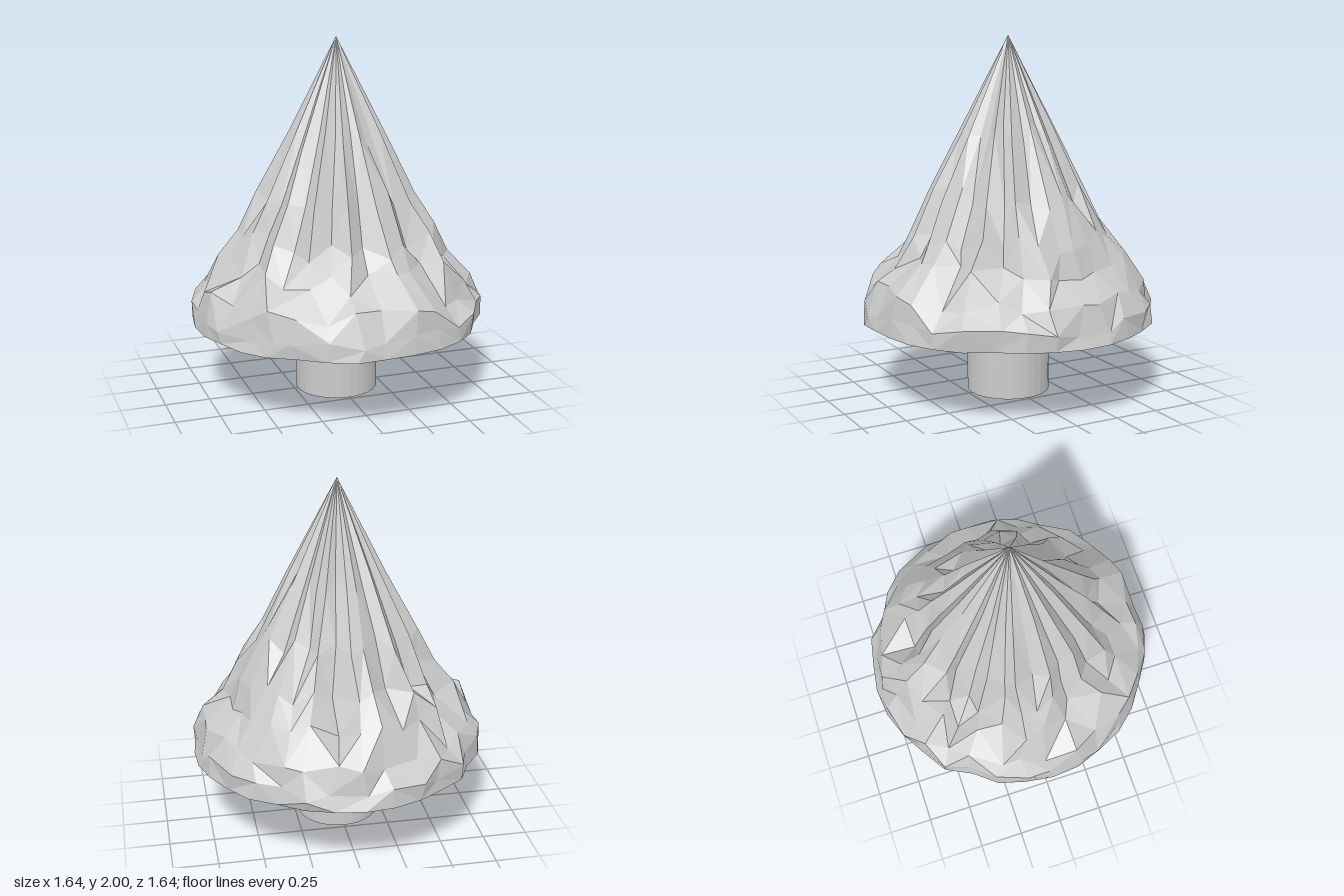
import * as THREE from 'three';

const SIDES = 32;

// Small seeded generator for the uneven facets
function seeded(seed) {
  return () => {
    seed = (seed * 16807) % 2147483647;
    return seed / 2147483647;
  };
}

// Grooves running down from the tip: [side index, radius where the groove ends]
const GROOVES = new Map([
  [1, 0.5], [3, 0.65], [5, 0.66], [6, 0.4], [8, 0.66], [10, 0.72], [12, 0.6], [14, 0.7],
  [16, 0.47], [18, 0.68], [20, 0.64], [22, 0.6], [25, 0.7], [27, 0.45], [29, 0.55], [31, 0.3],
]);

// Rings from the skirt edge up: [height, radius, radius jitter, height jitter]
const RINGS = [
  [0.433, 0.82, 0.012, 0.004],
  [0.52, 0.815, 0.02, 0.03],
  [0.64, 0.765, 0.035, 0.04],
  [0.78, 0.64, 0.035, 0.05],
  [0.93, 0.555, 0.02, 0.05],
  [1.15, 0.44, 0.012, 0.06],
  [1.48, 0.268, 0.006, 0.06],
];

function foliageGeometry() {
  const rand = seeded(4711);
  const positions = [];
  const index = [];

  RINGS.forEach(([height, radius, jitterR, jitterY], ring) => {
    for (let i = 0; i < SIDES; i++) {
      const dy = (rand() * 2 - 1) * jitterY;
      // Upper rings follow the cone when they shift up or down
      let r = radius - (ring > 3 ? dy * 0.517 : 0) + (rand() * 2 - 1.2) * jitterR;
      if (ring > 2 && GROOVES.has(i) && radius < GROOVES.get(i)) r *= 0.87;
      // The skirt edge is gently scalloped
      if (ring < 2 && i % 8 === 3) r -= 0.02;
      const turn = ring === 0 ? 0 : (rand() - 0.5) * 0.5;
      const a = ((i + turn) / SIDES) * Math.PI * 2;
      positions.push(Math.cos(a) * r, height + dy, Math.sin(a) * r);
    }
  });

  const tip = positions.length / 3;
  positions.push(0, 2, 0);
  const under = tip + 1;
  positions.push(0, 0.433, 0);

  const top = (RINGS.length - 1) * SIDES;
  for (let i = 0; i < SIDES; i++) {
    const n = (i + 1) % SIDES;
    for (let ring = 0; ring < RINGS.length - 1; ring++) {
      const a = ring * SIDES + i, b = ring * SIDES + n;
      const c = a + SIDES, d = b + SIDES;
      // Diagonals run along the grooves
      if (GROOVES.has(i)) index.push(a, c, d, a, d, b);
      else index.push(a, c, b, b, c, d);
    }
    index.push(top + i, tip, top + n);
    index.push(under, i, n);
  }

  const geometry = new THREE.BufferGeometry();
  geometry.setAttribute('position', new THREE.Float32BufferAttribute(positions, 3));
  geometry.setIndex(index);
  const flat = geometry.toNonIndexed();
  flat.computeVertexNormals();
  return flat;
}

export function createModel() {
  const model = new THREE.Group();
  model.name = 'coneTree';
  const material = new THREE.MeshStandardMaterial({ color: 0xcccccc, flatShading: true });

  // Faceted cone of branches
  const foliage = new THREE.Mesh(foliageGeometry(), material);
  foliage.name = 'foliage';
  model.add(foliage);

  // Short round trunk
  const trunk = new THREE.Mesh(new THREE.CylinderGeometry(0.232, 0.232, 0.434, 32), material);
  trunk.name = 'trunk';
  trunk.position.y = 0.217;
  model.add(trunk);

  return model;
}
